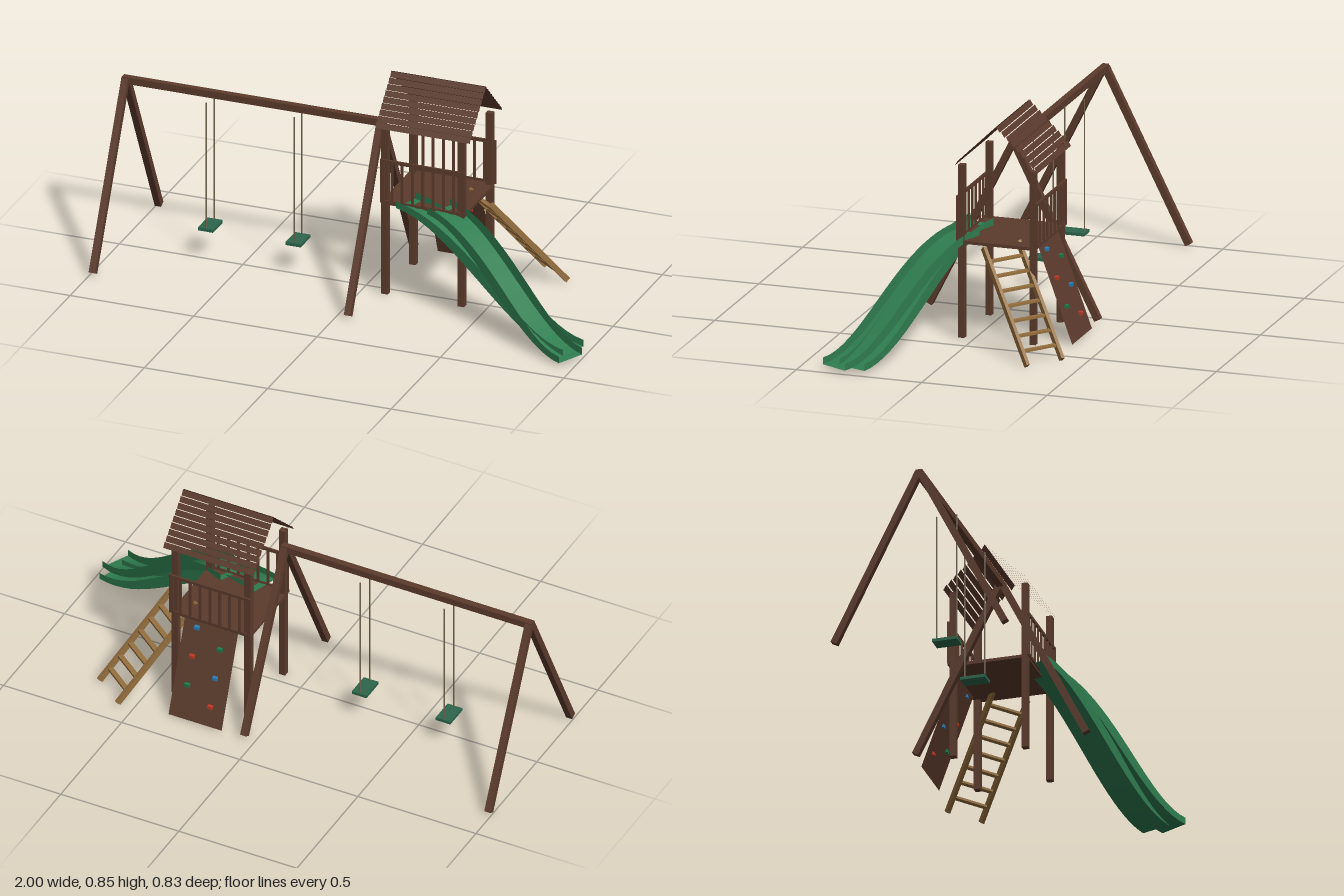
import * as THREE from 'three';

const mat = (name, color, side = THREE.FrontSide) => {
  const m = new THREE.MeshStandardMaterial({ color, side });
  m.name = name;
  return m;
};

export function createModel() {
  const root = new THREE.Group();
  root.name = 'playground';
  const wood = mat('dark wood', 0x5c3b2d);
  const woodSheet = mat('dark wood sheet', 0x5c3b2d, THREE.DoubleSide);
  const tan = mat('ladder wood', 0x96703f);
  const rope = mat('rope', 0x75674f);
  const seatGreen = mat('seat green', 0x2d664c);
  const slideGreen = mat('slide green', 0x2f7d50, THREE.DoubleSide);
  const holdMats = [mat('hold blue', 0x2980b9), mat('hold green', 0x1f7a4a), mat('hold red', 0xc0392b)];
  const V = (x, y, z) => new THREE.Vector3(x, y, z);

  const group = (name) => {
    const g = new THREE.Group();
    g.name = name;
    root.add(g);
    return g;
  };
  const box = (parent, name, m, w, h, d, x, y, z) => {
    const b = new THREE.Mesh(new THREE.BoxGeometry(w, h, d), m);
    b.name = name;
    b.position.set(x, y, z);
    parent.add(b);
    return b;
  };
  // square bar between two points, its width axis following "side"
  const bar = (parent, name, m, a, b, w, t, side = V(1, 0, 0)) => {
    const dir = b.clone().sub(a);
    const mid = a.clone().add(b).multiplyScalar(0.5);
    const o = box(parent, name, m, w, dir.length(), t, mid.x, mid.y, mid.z);
    dir.normalize();
    const sx = side.clone().addScaledVector(dir, -side.dot(dir)).normalize();
    o.quaternion.setFromRotationMatrix(new THREE.Matrix4().makeBasis(sx, dir, sx.clone().cross(dir)));
    return o;
  };

  // swing frame
  const frame = group('swingFrame');
  box(frame, 'swingBeam', wood, 1.06, 0.027, 0.026, -0.47, 0.676, -0.034);
  for (const x of [-0.987, 0.047])
    for (const s of [-1, 1])
      bar(frame, 'frameLeg', wood, V(x, 0.68, -0.034 + s * 0.003), V(x, 0.016, -0.034 + s * 0.336), 0.026, 0.026);

  // swings
  for (const x of [-0.645, -0.29]) {
    const swing = group('swing');
    box(swing, 'swingSeat', seatGreen, 0.062, 0.012, 0.098, x, 0.13, -0.033);
    for (const z of [0.006, -0.073]) {
      const r = new THREE.Mesh(new THREE.CylinderGeometry(0.0027, 0.0027, 0.525, 6), rope);
      r.name = 'swingRope';
      r.position.set(x, 0.392, z);
      swing.add(r);
    }
  }

  // tower posts and deck
  const tower = group('tower');
  for (const x of [0.097, 0.406])
    for (const z of [0.046, -0.238])
      box(tower, 'towerPost', wood, 0.026, 0.68, 0.024, x, 0.35, z);
  box(tower, 'deck', wood, 0.337, 0.012, 0.306, 0.252, 0.387, -0.096);

  // railings on the front and back
  for (const z of [0.06, -0.254]) {
    const rail = group('railing');
    box(rail, 'topRail', wood, 0.345, 0.013, 0.008, 0.253, 0.562, z);
    box(rail, 'bottomRail', wood, 0.345, 0.011, 0.006, 0.253, 0.395, z);
    for (const x of [0.09, 0.416]) box(rail, 'endBoard', wood, 0.017, 0.17, 0.008, x, 0.48, z);
    for (let i = 0; i < 7; i++) box(rail, 'baluster', wood, 0.01, 0.165, 0.006, 0.128 + i * 0.0417, 0.478, z);
  }

  // roof of steep overlapping slats
  const roof = group('roof');
  for (const s of [-1, 1])
    for (let i = 0; i < 9; i++) {
      const slat = new THREE.Mesh(new THREE.PlaneGeometry(0.383, 0.0235), woodSheet);
      slat.name = 'roofSlat';
      slat.position.set(0.253, 0.85 - i * 0.0183, -0.102 + s * (0.008 + i * 0.0188));
      slat.rotation.x = s > 0 ? -0.55 : 0.55;
      roof.add(slat);
    }

  // sloping climbing wall with two columns of holds
  const wall = group('climbingWall');
  const lean = Math.atan2(0.137, 0.377);
  const panel = new THREE.Mesh(new THREE.PlaneGeometry(0.225, 0.401), woodSheet);
  panel.name = 'wallPanel';
  panel.position.set(0.252, 0.198, -0.309);
  panel.rotation.x = lean;
  wall.add(panel);
  for (let i = 0; i < 6; i++)
    box(wall, 'climbingHold', holdMats[i % 3], 0.02, 0.013, 0.018,
      i % 2 ? 0.2 : 0.307, 0.357 - i * 0.0545, -0.255 - i * 0.0195);

  // angled ladder
  const ladder = group('ladder');
  const topA = V(0.48, 0.393, -0.065), topB = V(0.355, 0.393, -0.16);
  const run = V(0.21, -0.38, -0.247);
  const across = topB.clone().sub(topA).normalize();
  for (const p of [topA, topB])
    bar(ladder, 'ladderRail', tan, p, p.clone().add(run), 0.014, 0.022, across);
  for (let i = 0; i < 7; i++) {
    const t = (0.393 - 0.348 + i * 0.048) / 0.38;
    const a = topA.clone().addScaledVector(run, t), b = topB.clone().addScaledVector(run, t);
    bar(ladder, 'ladderRung', tan, a, b, 0.009, 0.02, V(0, 1, 0));
  }

  // open trough swept along an S curve; a0, a1 = far edge, b0, b1 = near edge as [x, z]
  const slide = (a0, a1, b0, b1) => {
    const n = 20, pos = [], idx = [];
    for (let i = 0; i <= n; i++) {
      const t = i / n, e = t * t * (3 - 2 * t);
      const y = 0.395 - 0.375 * e;
      const top = y + 0.027 + 0.028 * Math.sin(Math.PI * t) ** 2;
      const L = (p, q, k) => p[k] + (q[k] - p[k]) * t;
      const ax = L(a0, a1, 0), az = L(a0, a1, 1), bx = L(b0, b1, 0), bz = L(b0, b1, 1);
      pos.push(ax, top, az, ax, y, az, bx, y, bz, bx, top, bz);
    }
    for (let i = 0; i < n; i++)
      for (let k = 0; k < 3; k++) {
        const p = i * 4 + k;
        idx.push(p, p + 1, p + 4, p + 1, p + 5, p + 4);
      }
    const g = new THREE.BufferGeometry();
    g.setAttribute('position', new THREE.Float32BufferAttribute(pos, 3));
    g.setIndex(idx);
    const flat = g.toNonIndexed();
    flat.computeVertexNormals();
    const m = new THREE.Mesh(flat, slideGreen);
    m.name = 'slide';
    root.add(m);
  };
  slide([0.34, 0], [0.997, 0.307], [0.29, 0.107], [0.945, 0.413]);
  slide([0.195, -0.005], [0.975, 0.237], [0.16, 0.1], [0.937, 0.35]);

  return root;
}
